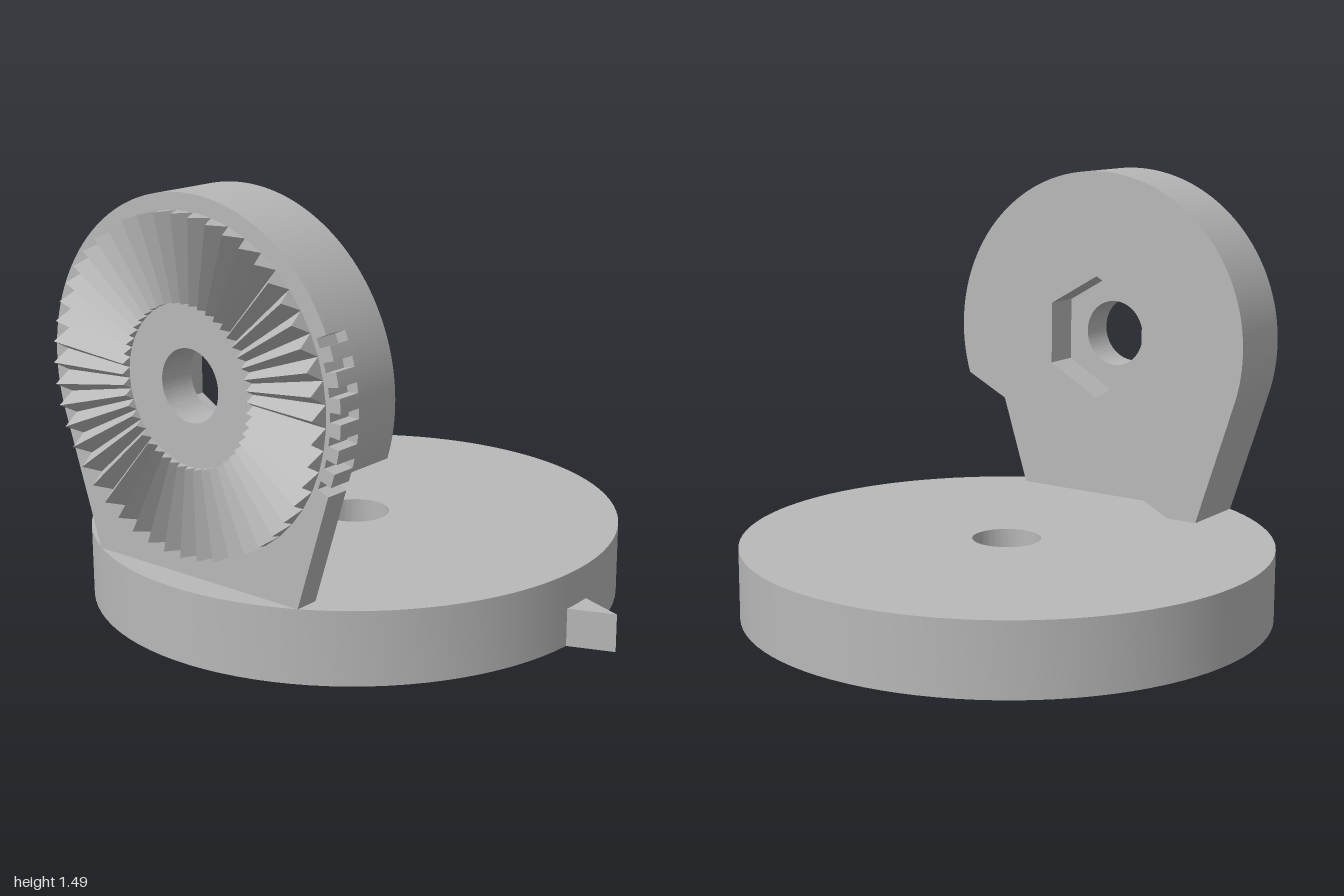
import * as THREE from 'three';
import { toCreasedNormals } from 'three/addons/utils/BufferGeometryUtils.js';

const CX = -0.075;            // shared axis of disc and bracket
const TEETH = 48;
const STEP = (Math.PI * 2) / TEETH;
const TOOTH_H = 0.065;
const BORE = 0.12;
const R = 0.605;              // bracket head radius
const HEAD_Y = 0.885;
const TANGENT = -0.315;       // angle where the head meets its straight sides

// Ring of radial V-shaped teeth facing +z, shrinking toward the centre
function toothRing(r0, r1, h) {
  const pos = [];
  const pt = (r, a, z) => [r * Math.cos(a), r * Math.sin(a), z];
  const tri = (a, b, c) => pos.push(...a, ...b, ...c);
  for (let i = 0; i < TEETH; i++) {
    const a = i * STEP, lo = a - STEP / 2, hi = a + STEP / 2;
    const li = pt(r0, lo, 0), lO = pt(r1, lo, 0);
    const ui = pt(r0, hi, 0), uO = pt(r1, hi, 0);
    const ci = pt(r0, a, (h * r0) / r1), cO = pt(r1, a, h);
    tri(li, lO, cO); tri(li, cO, ci);   // flanks
    tri(ci, cO, uO); tri(ci, uO, ui);
    tri(lO, uO, cO);                    // outer end
    tri(ui, li, ci);                    // inner end
  }
  const g = new THREE.BufferGeometry();
  g.setAttribute('position', new THREE.Float32BufferAttribute(pos, 3));
  g.computeVertexNormals();
  return g;
}

// Rounded bracket outline about the head centre, optionally with index notches
function bracketShape(notched) {
  const s = new THREE.Shape();
  const edge = (a) => (a < TANGENT ? R / Math.cos(a - TANGENT) : R);
  const go = (r, a) => s.lineTo(r * Math.cos(a), r * Math.sin(a));
  const half = 0.027;
  s.moveTo(0.415, -0.685);
  let from = TANGENT;
  if (notched) {
    for (let k = -3; k <= 3; k++) {
      const a = k * STEP, a0 = a - half, a1 = a + half;
      if (a0 > from) s.absarc(0, 0, R, from, a0, false);
      go(edge(a0), a0);
      go(R - 0.04, a0);
      go(R - 0.04, a1);
      go(edge(a1), a1);
      from = Math.max(a1, TANGENT);
    }
  }
  s.absarc(0, 0, R, from, Math.PI - TANGENT, false);
  s.lineTo(-0.415, -0.685);
  s.closePath();
  return s;
}

function roundHole() {
  return new THREE.Path().absarc(0, 0, BORE, 0, Math.PI * 2, true);
}

// Hexagonal nut pocket with vertical sides
function hexHole() {
  const pts = [];
  for (let i = 0; i < 6; i++) {
    const a = Math.PI / 2 - (i * Math.PI) / 3;
    pts.push(new THREE.Vector2(0.225 * Math.cos(a), 0.225 * Math.sin(a)));
  }
  return new THREE.Path(pts);
}

export function createModel() {
  const model = new THREE.Group();
  model.name = 'toothedSwivelMount';
  const grey = new THREE.MeshStandardMaterial({ color: 0xb8b8b8 });
  grey.name = 'grey';

  const add = (name, geometry, x, y, z, parent = model) => {
    const m = new THREE.Mesh(geometry, grey);
    m.name = name;
    m.position.set(x, y, z);
    parent.add(m);
    return m;
  };

  // Base disc with a bore and a recess underneath
  const profile = [
    [BORE, TOOTH_H], [0.78, TOOTH_H], [0.78, 0], [0.925, 0],
    [0.925, 0.25], [BORE, 0.25], [BORE, TOOTH_H],
  ].map(([r, y]) => new THREE.Vector2(r, y));
  add('baseDisc', toCreasedNormals(new THREE.LatheGeometry(profile, 96), 0.5), CX, 0, 0);

  // Teeth inside the recess, facing down
  add('baseTeeth', toothRing(0.345, 0.78, TOOTH_H), CX, TOOTH_H, 0).rotation.x = Math.PI / 2;

  // Pointer on the rim of the disc
  const wedge = new THREE.Shape([
    new THREE.Vector2(0.83, -0.064),
    new THREE.Vector2(1, 0),
    new THREE.Vector2(0.83, 0.064),
  ]);
  const pointer = new THREE.ExtrudeGeometry(wedge, { depth: 0.13, bevelEnabled: false });
  add('pointer', pointer, 0, 0, 0).rotation.x = -Math.PI / 2;

  // Upright bracket in three layers: nut pocket, web, notched front
  const bracket = new THREE.Group();
  bracket.name = 'bracket';
  bracket.position.set(CX, HEAD_Y, 0);
  model.add(bracket);
  const layers = [
    ['nutPocketLayer', 0.56, 0.69, false, hexHole()],
    ['webLayer', 0.69, 0.735, false, roundHole()],
    ['notchedLayer', 0.735, 0.82, true, roundHole()],
  ];
  for (const [name, z0, z1, notched, hole] of layers) {
    const shape = bracketShape(notched);
    shape.holes.push(hole);
    const g = new THREE.ExtrudeGeometry(shape, {
      depth: z1 - z0, bevelEnabled: false, curveSegments: 64,
    });
    add(name, toCreasedNormals(g, 0.4), 0, 0, z0, bracket);
  }

  // Teeth on the bracket face
  add('bracketTeeth', toothRing(0.265, 0.55, TOOTH_H), 0, 0, 0.82, bracket);

  return model;
}
